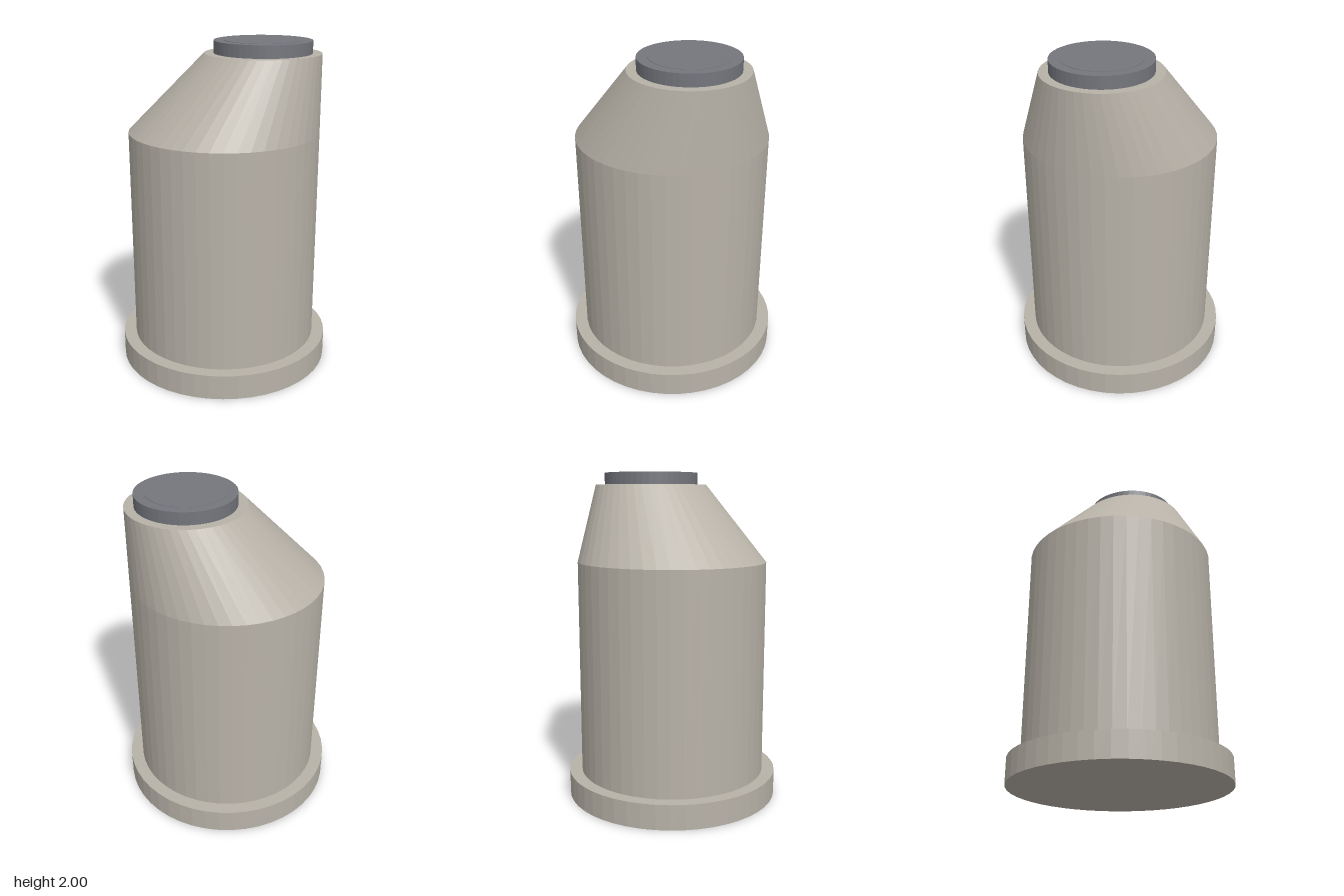
import * as THREE from 'three';

const SIDES = 48;
const AXIS_X = 0.226, AXIS_Z = 0.037; // offset of the access opening

// Faceted cylinder or cone standing between two heights
function drum(name, rTop, rBottom, y0, y1, material) {
  const indexed = new THREE.CylinderGeometry(rTop, rBottom, y1 - y0, SIDES);
  indexed.translate(0, (y0 + y1) / 2, 0);
  const geometry = indexed.toNonIndexed();
  geometry.computeVertexNormals();
  const mesh = new THREE.Mesh(geometry, material);
  mesh.name = name;
  return mesh;
}

export function createModel() {
  const concrete = new THREE.MeshStandardMaterial({ color: 0xb8b2a8 });
  concrete.name = 'concrete';
  const iron = new THREE.MeshStandardMaterial({ color: 0x74767d });
  iron.name = 'cast iron';

  const group = new THREE.Group();
  group.name = 'manhole';

  // Base slab and shaft
  group.add(drum('baseSlab', 0.652, 0.652, 0, 0.152, concrete));
  group.add(drum('shaft', 0.575, 0.575, 0.152, 1.463, concrete));

  // Eccentric cone: the top ring is sheared towards the offset axis
  const y0 = 1.463, y1 = 1.925;
  const cone = drum('eccentricCone', 0.346, 0.575, y0, y1, concrete);
  const p = cone.geometry.attributes.position;
  for (let i = 0; i < p.count; i++) {
    const t = (p.getY(i) - y0) / (y1 - y0);
    p.setX(i, p.getX(i) + AXIS_X * t);
    p.setZ(i, p.getZ(i) + AXIS_Z * t);
  }
  cone.geometry.computeVertexNormals();
  group.add(cone);

  // Cover with a fine raised ring marking the lid
  const cover = new THREE.Group();
  cover.name = 'cover';
  cover.position.set(AXIS_X, 0, AXIS_Z);
  cover.add(drum('coverFrame', 0.29, 0.29, y1, 1.998, iron));
  cover.add(drum('lid', 0.23, 0.23, 1.998, 2, iron));
  group.add(cover);

  return group;
}
